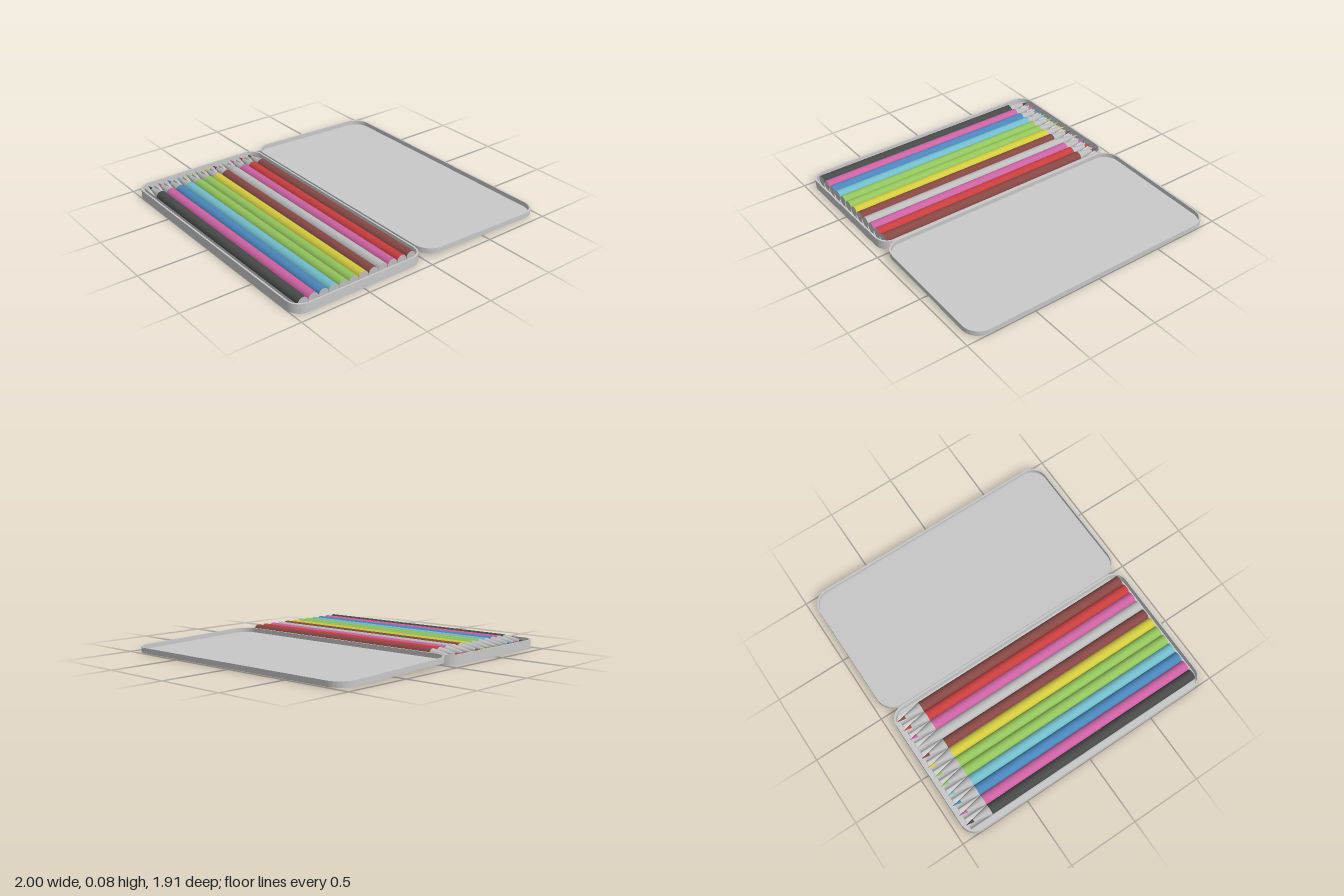
import * as THREE from 'three';
import { toCreasedNormals } from 'three/addons/utils/BufferGeometryUtils.js';

const mat = (name, color) => Object.assign(new THREE.MeshStandardMaterial({ color }), { name });
const M = {
  metal: mat('tin metal', 0xc8c8c8),
  silver: mat('silver grey', 0xbcbcbc),
  black: mat('charcoal', 0x484a4a),
  pink: mat('pink', 0xcc62a2),
  blue: mat('blue', 0x4a86bc),
  teal: mat('light blue', 0x72bccb),
  green: mat('green', 0x92c45c),
  yellow: mat('yellow', 0xd2ca3e),
  maroon: mat('maroon', 0x864844),
  red: mat('red', 0xc83e3e),
};

function add(parent, name, geometry, material) {
  const mesh = new THREE.Mesh(geometry, material);
  mesh.name = name;
  parent.add(mesh);
  return mesh;
}

// Rounded rectangle centred on the origin
function roundedRect(w, d, r, Type = THREE.Shape) {
  const s = new Type(), x = w / 2 - r, y = d / 2 - r;
  s.absarc(x, y, r, 0, Math.PI / 2);
  s.absarc(-x, y, r, Math.PI / 2, Math.PI);
  s.absarc(-x, -y, r, Math.PI, Math.PI * 1.5);
  s.absarc(x, -y, r, Math.PI * 1.5, Math.PI * 2);
  s.closePath();
  return s;
}

function slab(shape, depth) {
  const g = new THREE.ExtrudeGeometry(shape, { depth, bevelEnabled: false, curveSegments: 10 });
  return toCreasedNormals(g.rotateX(-Math.PI / 2), 0.6);
}

// Shallow open pan: a floor plate and a thin wall
function pan(name, w, d, h, r) {
  const group = new THREE.Group(), t = 0.012;
  group.name = name;
  add(group, name + 'Floor', slab(roundedRect(w - t, d - t, r - t / 2), 0.005), M.metal);
  const wall = roundedRect(w, d, r);
  wall.holes.push(roundedRect(w - 2 * t, d - 2 * t, r - t, THREE.Path));
  add(group, name + 'Wall', slab(wall, h), M.metal);
  return group;
}

// Clip a polygon to a convex counter-clockwise outline
function clip(poly, outline) {
  outline.forEach((a, i) => {
    const edge = outline[(i + 1) % outline.length].clone().sub(a);
    if (edge.lengthSq() < 1e-10) return;
    const side = (p) => edge.cross(p.clone().sub(a));
    const out = [];
    poly.forEach((p, j) => {
      const q = poly[(j + 1) % poly.length], sp = side(p), sq = side(q);
      if (sp >= 0) out.push(p);
      if (sp * sq < 0) out.push(p.clone().lerp(q, sp / (sp - sq)));
    });
    poly = out;
  });
  return poly;
}

const PITCH = 0.0751, RADIUS = 0.0374, FIRST = -0.917, AXIS_Y = 0.0465;

// One sharpened pencil lying along z with its point toward -z
function pencil(color) {
  const g = new THREE.Group();
  g.name = 'pencil';
  const piece = (name, rBack, rTip, zBack, zTip, material, open) => {
    const geo = new THREE.CylinderGeometry(rTip, rBack, zBack - zTip, 20, 1, open);
    geo.rotateX(-Math.PI / 2).translate(0, 0, (zBack + zTip) / 2);
    add(g, name, geo, material);
  };
  piece('pencilBody', RADIUS, RADIUS, 0.9, -0.74, [color, M.silver, M.silver], false);
  piece('pencilCone', RADIUS, 0.012, -0.74, -0.865, M.silver, true);
  piece('pencilLead', 0.012, 0.001, -0.865, -0.922, color, false);
  return g;
}

export function createModel() {
  const model = new THREE.Group();
  model.name = 'pencilTin';

  // Tray
  const tray = pan('tray', 0.985, 1.89, 0.065, 0.1);
  tray.position.x = -0.5075;
  model.add(tray);

  const colors = [M.black, M.pink, M.blue, M.teal, M.green, M.green,
    M.yellow, M.maroon, M.silver, M.pink, M.red, M.maroon];

  // Scalloped insert that cradles the pencils
  const cradle = new THREE.Shape();
  const left = FIRST - PITCH / 2, right = left + PITCH * colors.length;
  cradle.moveTo(right, 0.004);
  cradle.lineTo(right, AXIS_Y);
  for (let i = colors.length - 1; i >= 0; i--) {
    cradle.absarc(FIRST + i * PITCH, AXIS_Y, PITCH / 2, 0, -Math.PI, true);
  }
  cradle.lineTo(left, 0.004);
  const cradleGeo = new THREE.ExtrudeGeometry(cradle, { depth: 1.81, bevelEnabled: false, curveSegments: 10 });
  add(model, 'insert', toCreasedNormals(cradleGeo.translate(0, 0, -0.905), 0.6), M.metal);

  // Pencils
  colors.forEach((c, i) => {
    const p = pencil(c);
    p.position.set(FIRST + i * PITCH, AXIS_Y, 0);
    model.add(p);
  });

  // Lid, folded open and leaning down to its far edge
  const lid = pan('lid', 1.01, 1.91, 0.036, 0.12);
  lid.position.set(0.495, 0.0205, 0);
  lid.rotation.z = -0.03;
  model.add(lid);

  // Slanted pencil picture printed on the outside of the lid
  const outline = roundedRect(0.99, 1.89, 0.11).getPoints(10);
  const point = (p, q) => new THREE.Vector2(0.915 * p - 0.4 * q - 0.495, -0.4 * p - 0.915 * q);
  const print = (name, poly, material) => {
    const pts = clip(poly, outline);
    if (pts.length < 3) return;
    const geo = new THREE.ShapeGeometry(new THREE.Shape(pts)).rotateX(Math.PI / 2);
    add(lid, name, geo, material).position.y = -0.002;
  };
  const stripes = [[1.05, M.black], [0.95, M.blue], [0.84, M.teal], [0.74, M.black], [0.63, M.green],
    [0.5, M.yellow], [0.36, M.maroon], [0.21, M.silver], [0.06, M.pink], [-0.09, M.black]];
  stripes.forEach(([p, material], i) => {
    const lo = i < 9 ? (p + stripes[i + 1][0]) / 2 : p - 0.07;
    const hi = i > 0 ? (p + stripes[i - 1][0]) / 2 : p + 0.05;
    print('printedPencil', [point(lo, -2), point(hi, -2), point(hi, 0.24), point(lo, 0.24)], material);
    print('printedTip', [point(lo, 0.24), point(hi, 0.24), point((lo + hi) / 2, 0.42)], M.silver);
  });

  return model;
}
